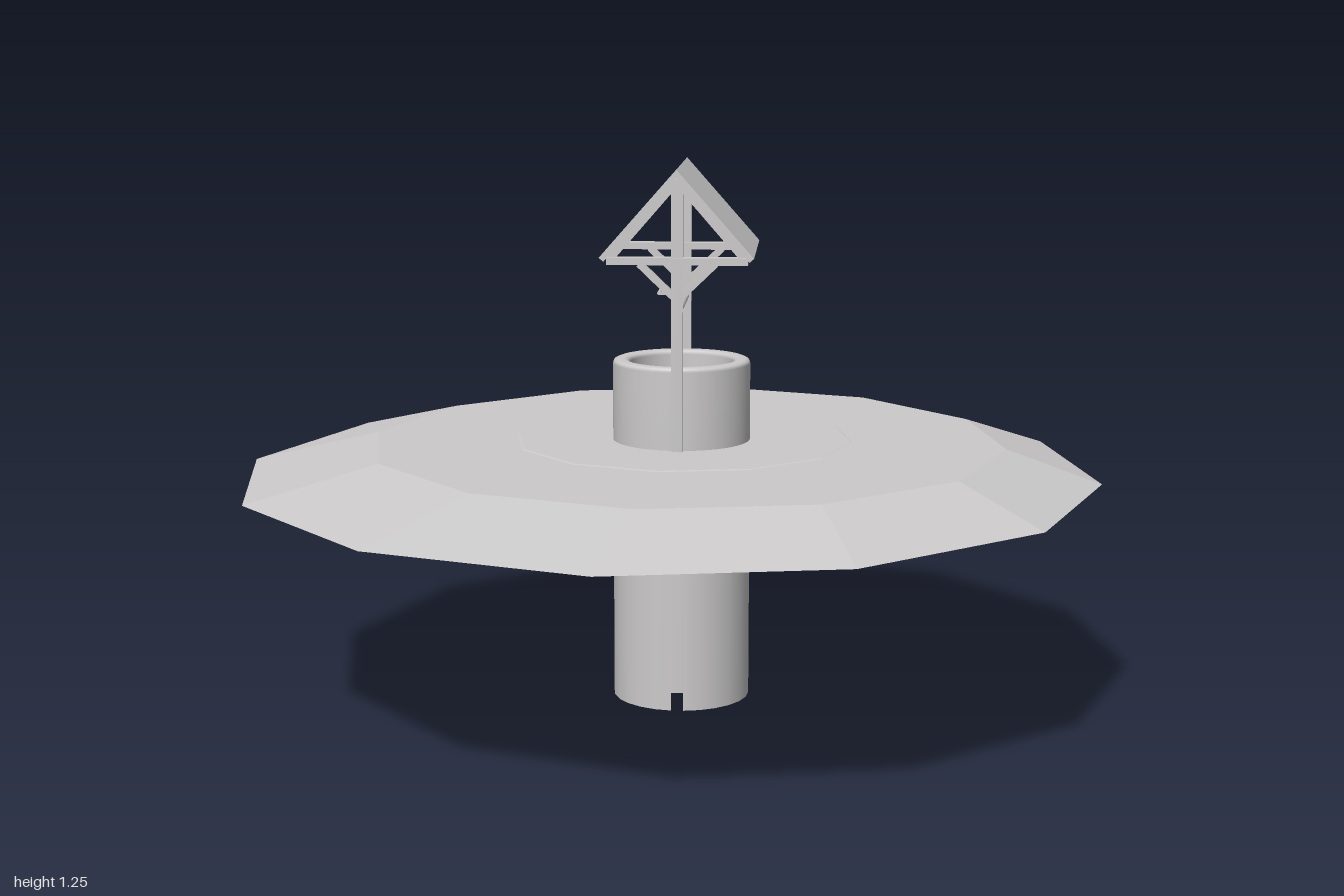
import * as THREE from 'three';

const CX = 0.027, CZ = -0.065; // well axis
const stone = new THREE.MeshStandardMaterial({ color: 0xcccaca });
stone.name = 'plain grey';
const openStone = new THREE.MeshStandardMaterial({ color: 0xcccaca, side: THREE.DoubleSide });
openStone.name = 'plain grey open shell';

export function createModel() {
  const model = new THREE.Group();
  model.name = 'well';

  const add = (name, geometry, material = stone) => {
    const mesh = new THREE.Mesh(geometry, material);
    mesh.name = name;
    model.add(mesh);
    return mesh;
  };

  // Square beam between two points
  const beam = (name, a, b, w, d) => {
    const p = new THREE.Vector3(...a), q = new THREE.Vector3(...b);
    const mesh = add(name, new THREE.BoxGeometry(w, p.distanceTo(q), d));
    mesh.position.copy(p).add(q).multiplyScalar(0.5);
    mesh.quaternion.setFromUnitVectors(new THREE.Vector3(0, 1, 0), q.sub(p).normalize());
  };

  // Round rod running along z
  const rod = (name, x, y, z0, z1, r) => {
    const mesh = add(name, new THREE.CylinderGeometry(r, r, z1 - z0, 12));
    mesh.rotation.x = Math.PI / 2;
    mesh.position.set(x, y, (z0 + z1) / 2);
  };

  // Hollow twelve-sided mound, open below, with an off-centre flat top
  const mound = (name, x, z, scale, y0, y1) => {
    const profile = [[1, 0], [0.745, 1], [0, 1]].map(([r, y]) => new THREE.Vector2(r, y));
    const g = new THREE.LatheGeometry(profile, 12, -0.08).toNonIndexed();
    const p = g.attributes.position;
    for (let i = 0; i < p.count; i++) {
      const top = p.getY(i) > 0.5;
      p.setXYZ(i,
        x + scale * (p.getX(i) * 0.985 + (top ? 0.04 : 0)),
        top ? y1 : y0,
        z + scale * (p.getZ(i) + (top ? -0.045 : 0)));
    }
    g.computeVertexNormals();
    add(name, g, openStone);
  };
  mound('ground', 0, 0, 1, 0.545, 0.61);
  mound('innerGround', 0.01, -0.05, 0.53, 0.577, 0.6115);

  // Outer wall: two half shells with a narrow slot at front and back
  const R = 0.159, gap = 0.085;
  for (const start of [gap, Math.PI + gap]) {
    add('outerWall', new THREE.CylinderGeometry(R, R, 0.79, 12, 1, true, start, Math.PI - 2 * gap), openStone)
      .position.set(CX, 0.395, CZ);
  }

  // Backing shell behind the slots, below ground
  add('shaftLining', new THREE.CylinderGeometry(R - 0.008, R - 0.008, 0.57, 32, 1, true), openStone)
    .position.set(CX, 0.325, CZ);

  // Wall top with rounded edges and the inner lining above ground
  const rim = [
    [R, 0.61], [R, 0.79], [R - 0.003, 0.797], [R - 0.01, 0.8],
    [0.132, 0.8], [0.124, 0.797], [0.12, 0.79], [0.12, 0.61],
  ].map(([r, y]) => new THREE.Vector2(r, y));
  add('rim', new THREE.LatheGeometry(rim, 48), openStone).position.set(CX, 0, CZ);

  // Front and back frames
  for (const z of [0.1, -0.23]) {
    beam('post', [CX, 0.58, z], [CX, 1.225, z], 0.026, 0.016);
    beam('tieBeam', [CX - 0.158, 1.043, z], [CX + 0.158, 1.043, z], 0.016, 0.03);
    for (const s of [-1, 1]) {
      beam('brace', [CX + s * 0.005, 0.96, z], [CX + s * 0.085, 1.037, z], 0.016, 0.014);
      beam('rafter', [CX + s * 0.15, 1.049, z], [CX + s * 0.004, 1.217, z], 0.018, 0.016);
    }
  }

  // Gable roof
  const roof = new THREE.Shape([
    [-0.172, 1.053], [-0.162, 1.044], [0, 1.23], [0.162, 1.044], [0.172, 1.053], [0, 1.248],
  ].map(([x, y]) => new THREE.Vector2(CX + x, y)));
  add('roof', new THREE.ExtrudeGeometry(roof, { depth: 0.405, bevelEnabled: false }))
    .position.z = -0.27;

  // Winding axle and crank
  rod('axle', CX, 0.925, -0.23, 0.1, 0.008);
  rod('axleEnd', CX, 0.925, -0.265, -0.23, 0.005);
  beam('crankArm', [CX, 0.925, -0.262], [-0.042, 0.925, -0.262], 0.008, 0.008);
  rod('crankHandle', -0.04, 0.925, -0.322, -0.26, 0.004);

  return model;
}
